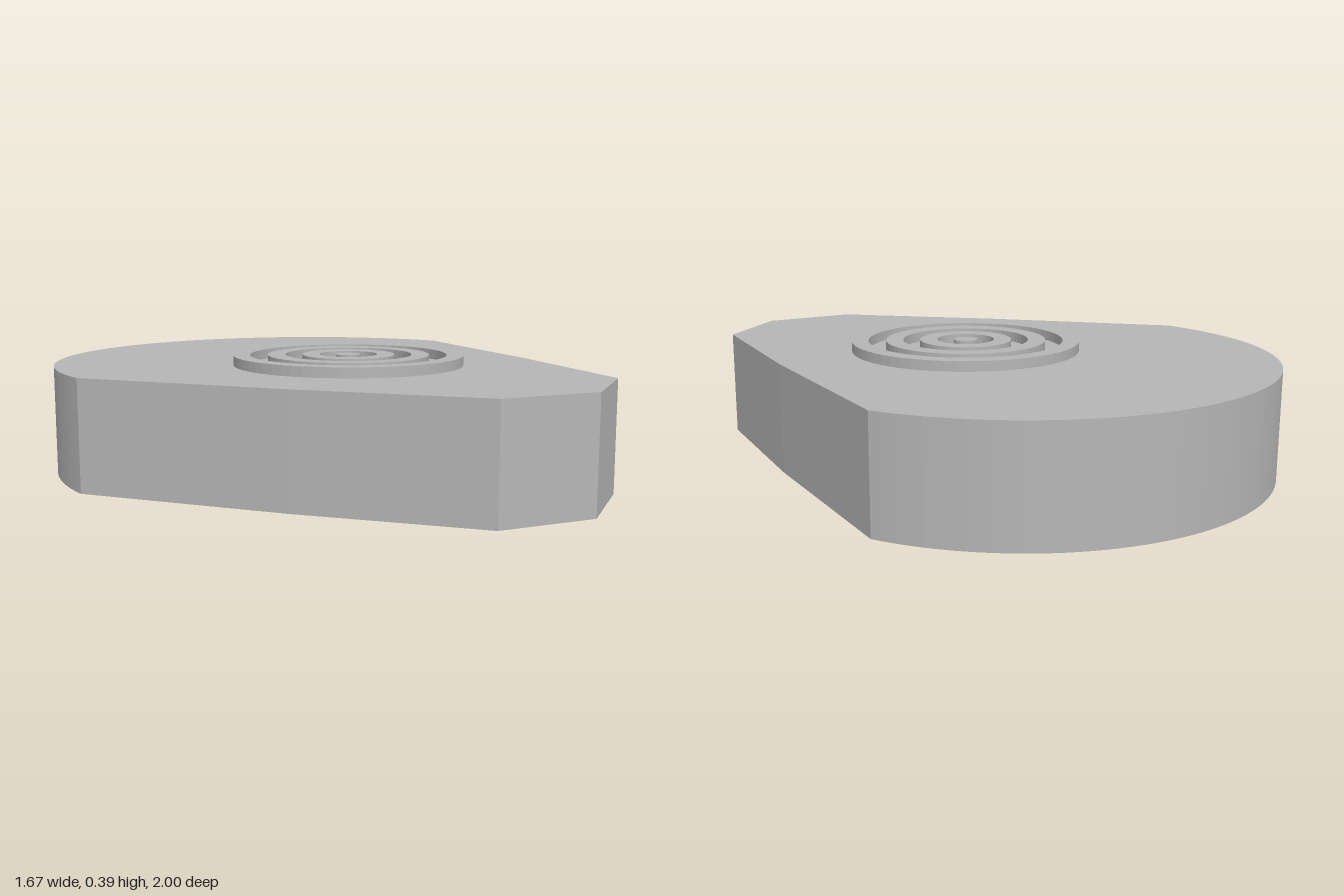
import * as THREE from 'three';

const BODY_HEIGHT = 0.355;
const RING_HEIGHT = 0.033;
const RING_Z = 0.045;

// Extrudes a plan shape (shape y = -z) straight up from the given height
function slab(name, shape, height, y, material) {
  const geometry = new THREE.ExtrudeGeometry(shape, { depth: height, bevelEnabled: false, curveSegments: 32 });
  geometry.rotateX(-Math.PI / 2);
  const mesh = new THREE.Mesh(geometry, material);
  mesh.name = name;
  mesh.position.y = y;
  return mesh;
}

export function createModel() {
  const group = new THREE.Group();
  group.name = 'ringedPlate';
  const grey = new THREE.MeshStandardMaterial({ color: 0xb6b6b6 });
  grey.name = 'grey';

  // Body: rounded back, tapering sides and a blunt pointed front
  const outline = new THREE.Shape();
  outline.moveTo(0, -1);
  outline.lineTo(0.295, -0.88);
  outline.lineTo(0.56, -0.35);
  outline.lineTo(0.835, 0.28);
  outline.bezierCurveTo(0.77, 0.7, 0.42, 1, 0, 1);
  outline.bezierCurveTo(-0.42, 1, -0.77, 0.7, -0.835, 0.28);
  outline.lineTo(-0.56, -0.35);
  outline.lineTo(-0.295, -0.88);
  outline.closePath();
  group.add(slab('body', outline, BODY_HEIGHT, 0, grey));

  // Raised concentric rings on the top face
  const rings = [['outerRing', 0.38, 0.325], ['middleRing', 0.267, 0.209], ['innerRing', 0.153, 0.095]];
  for (const [name, outer, inner] of rings) {
    const shape = new THREE.Shape().absarc(0, 0, outer, 0, Math.PI * 2, false);
    shape.holes.push(new THREE.Path().absarc(0, 0, inner, 0, Math.PI * 2, true));
    const ring = slab(name, shape, RING_HEIGHT, BODY_HEIGHT, grey);
    ring.position.z = RING_Z;
    group.add(ring);
  }

  // Centre stud
  const stud = new THREE.Mesh(new THREE.CylinderGeometry(0.04, 0.04, RING_HEIGHT, 32), grey);
  stud.name = 'centreStud';
  stud.position.set(0, BODY_HEIGHT + RING_HEIGHT / 2, RING_Z);
  group.add(stud);

  return group;
}
